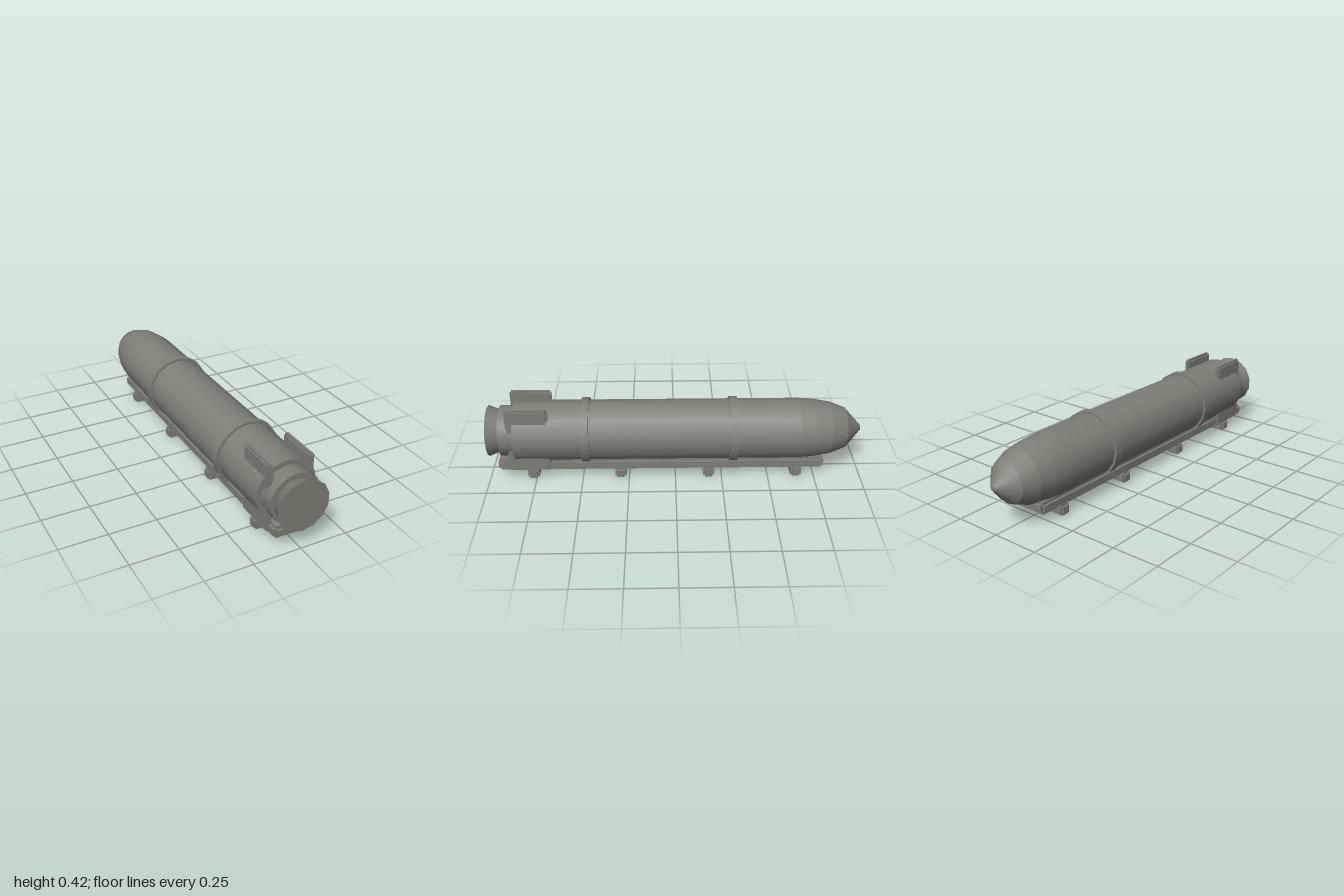
import * as THREE from 'three';

const AXIS_Y = 0.237; // height of the body axis
const material = new THREE.MeshStandardMaterial({ color: 0x7d8076 });

export function createModel() {
  const model = new THREE.Group();

  // Round section along z, from z0 (radius r0) forward to z1 (radius r1)
  function section(parent, name, z0, r0, z1, r1, sides = 16, open = false) {
    const geometry = new THREE.CylinderGeometry(r1, r0, z1 - z0, sides, 1, open);
    geometry.rotateX(Math.PI / 2);
    const mesh = new THREE.Mesh(geometry, material);
    mesh.name = name;
    mesh.position.set(0, AXIS_Y, (z0 + z1) / 2);
    parent.add(mesh);
  }

  // Block with stepped edges: three boxes, each full length on one axis
  function steppedBlock(name, size, center, inset) {
    const group = new THREE.Group();
    group.name = name;
    for (let axis = 0; axis < 3; axis++) {
      const dims = size.map((s, i) => (i === axis ? s : s - 2 * inset));
      const mesh = new THREE.Mesh(new THREE.BoxGeometry(...dims), material);
      mesh.name = name + 'Core';
      group.add(mesh);
    }
    group.position.set(...center);
    model.add(group);
  }

  // Main tube, neck and flared nozzle
  section(model, 'bodyTube', -0.66, 0.163, 0.855, 0.163);
  section(model, 'neck', 0.84, 0.137, 0.935, 0.137, 14);
  section(model, 'nozzle', 0.93, 0.11, 1, 0.138, 14);

  // Nose built from tapering rings, ending in a small blunt tip
  const nose = new THREE.Group();
  nose.name = 'nose';
  const profile = [[-1, 0.013], [-0.915, 0.108], [-0.83, 0.142], [-0.74, 0.157], [-0.66, 0.163]];
  for (let i = 0; i < profile.length - 1; i++) {
    section(nose, 'noseRing', ...profile[i], ...profile[i + 1], 16, i > 0);
  }
  model.add(nose);

  // Clamping bands
  for (const z of [0.477, -0.31]) section(model, 'band', z - 0.021, 0.176, z + 0.021, 0.176);

  // Fins, running the full height on both sides of the tail
  for (const side of [1, -1]) {
    steppedBlock(side > 0 ? 'leftFin' : 'rightFin', [0.031, 0.365, 0.225], [side * 0.107, 0.2375, 0.778], 0.0095);
  }

  // Support rail and its crossbars
  steppedBlock('rail', [0.224, 0.064, 1.75], [0, 0.08, 0.075], 0.014);
  for (const z of [0.765, 0.295, -0.18, -0.652]) {
    steppedBlock('crossbar', [0.246, 0.06, 0.06], [0, 0.03, z], 0.011);
  }

  return model;
}
